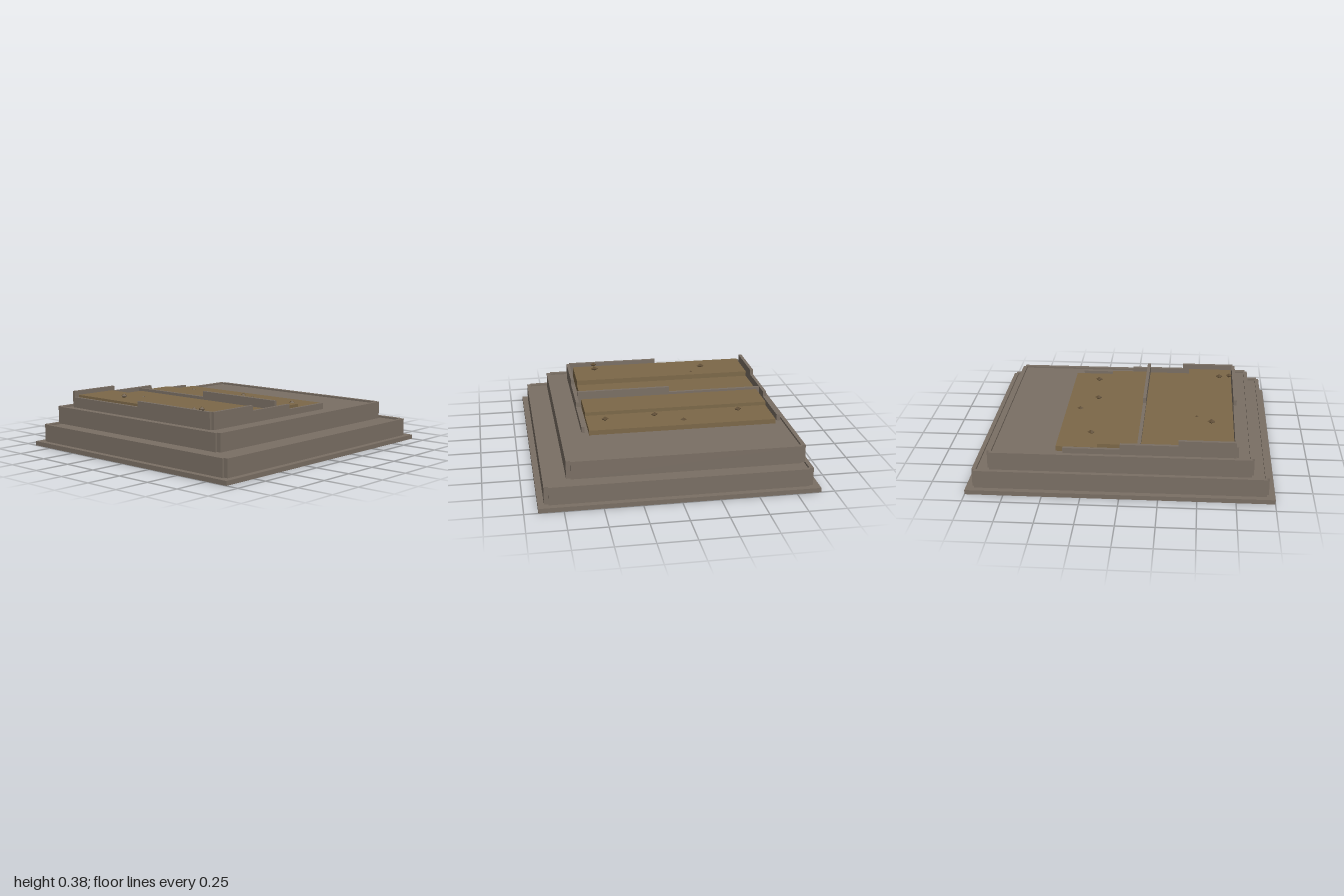
import * as THREE from 'three';

const stone = new THREE.MeshStandardMaterial({ color: 0x7a6f64 });
stone.name = 'stone';
const wood = new THREE.MeshStandardMaterial({ color: 0x7c6848 });
wood.name = 'wood';
const darkWood = new THREE.MeshStandardMaterial({ color: 0x5e4c34 });
darkWood.name = 'darkWood';

// Box given by its limits on each axis
function block(parent, name, material, [x0, x1], [y0, y1], [z0, z1]) {
  const mesh = new THREE.Mesh(new THREE.BoxGeometry(x1 - x0, y1 - y0, z1 - z0), material);
  mesh.position.set((x0 + x1) / 2, (y0 + y1) / 2, (z0 + z1) / 2);
  mesh.name = name;
  parent.add(mesh);
  return mesh;
}

// Platform step: sunken fill with four edging slabs; side slabs stand slightly proud
function tier(name, halfX, zBack, zFront, y0, y1) {
  const group = new THREE.Group();
  group.name = name;
  const t = 0.028, lip = 0.015, y = [y0, y1];
  block(group, 'fill', stone, [-halfX + t, halfX - t], [y0, y1 - 0.013], [zBack + t, zFront - t]);
  block(group, 'frontEdging', stone, [-halfX + lip, halfX - lip], y, [zFront - t, zFront]);
  block(group, 'backEdging', stone, [-halfX + lip, halfX - lip], y, [zBack, zBack + t]);
  for (const s of [-1, 1]) {
    const x = [s * halfX, s * (halfX - t)].sort((a, b) => a - b);
    block(group, 'sideEdging', stone, x, y, [zBack + t, zFront - t]);
  }
  return group;
}

export function createModel() {
  const model = new THREE.Group();
  model.name = 'steppedPlatform';

  // Stepped base
  block(model, 'baseSlab', stone, [-1, 1], [0, 0.03], [-0.91, 0.91]);
  model.add(tier('lowerTier', 0.96, -0.87, 0.87, 0.03, 0.15));
  model.add(tier('upperTier', 0.86, -0.84, 0.72, 0.15, 0.27));

  // Wooden boards, descending toward +x
  const boards = [
    [-0.73, -0.42, 0.345],
    [-0.42, -0.13, 0.31],
    [-0.11, 0.15, 0.315],
    [0.15, 0.42, 0.29],
  ];
  for (const [x0, x1, top] of boards) {
    block(model, 'board', wood, [x0, x1], [0.25, top], [-0.755, 0.525]);
  }

  // Low walls at front and back, stepping down in three parts
  const steps = [[-0.745, -0.375, 0.37], [-0.375, 0, 0.335], [0, 0.37, 0.30]];
  for (const [x0, x1, top] of steps) {
    block(model, 'frontWall', stone, [x0, x1], [0.25, top], [0.55, 0.572]);
    block(model, 'backWall', stone, [x0, x1], [0.25, top], [-0.8, -0.777]);
  }

  // Side wall and divider, each with a tall front half and a low back half
  for (const [name, x0, x1] of [['sideWall', -0.76, -0.737], ['divider', -0.132, -0.11]]) {
    block(model, name + 'Front', stone, [x0, x1], [0.25, 0.37], [-0.11, 0.55]);
    block(model, name + 'Back', stone, [x0, x1], [0.25, 0.33], [-0.777, -0.11]);
  }

  // Small faceted studs on the boards: x, y, z, radius
  const studs = [
    [-0.585, 0.353, -0.437, 0.027],
    [-0.487, 0.345, -0.344, 0.012],
    [-0.715, 0.363, 0.37, 0.024],
    [-0.643, 0.355, 0.37, 0.026],
    [0.21, 0.298, -0.54, 0.025],
    [0.326, 0.288, -0.133, 0.026],
    [0.216, 0.298, 0.05, 0.025],
    [0.243, 0.298, 0.397, 0.026],
  ];
  for (const [x, y, z, r] of studs) {
    const stud = new THREE.Mesh(new THREE.OctahedronGeometry(r, 0), darkWood);
    stud.name = 'stud';
    stud.scale.y = 0.65;
    stud.position.set(x, y, z);
    model.add(stud);
  }

  return model;
}
